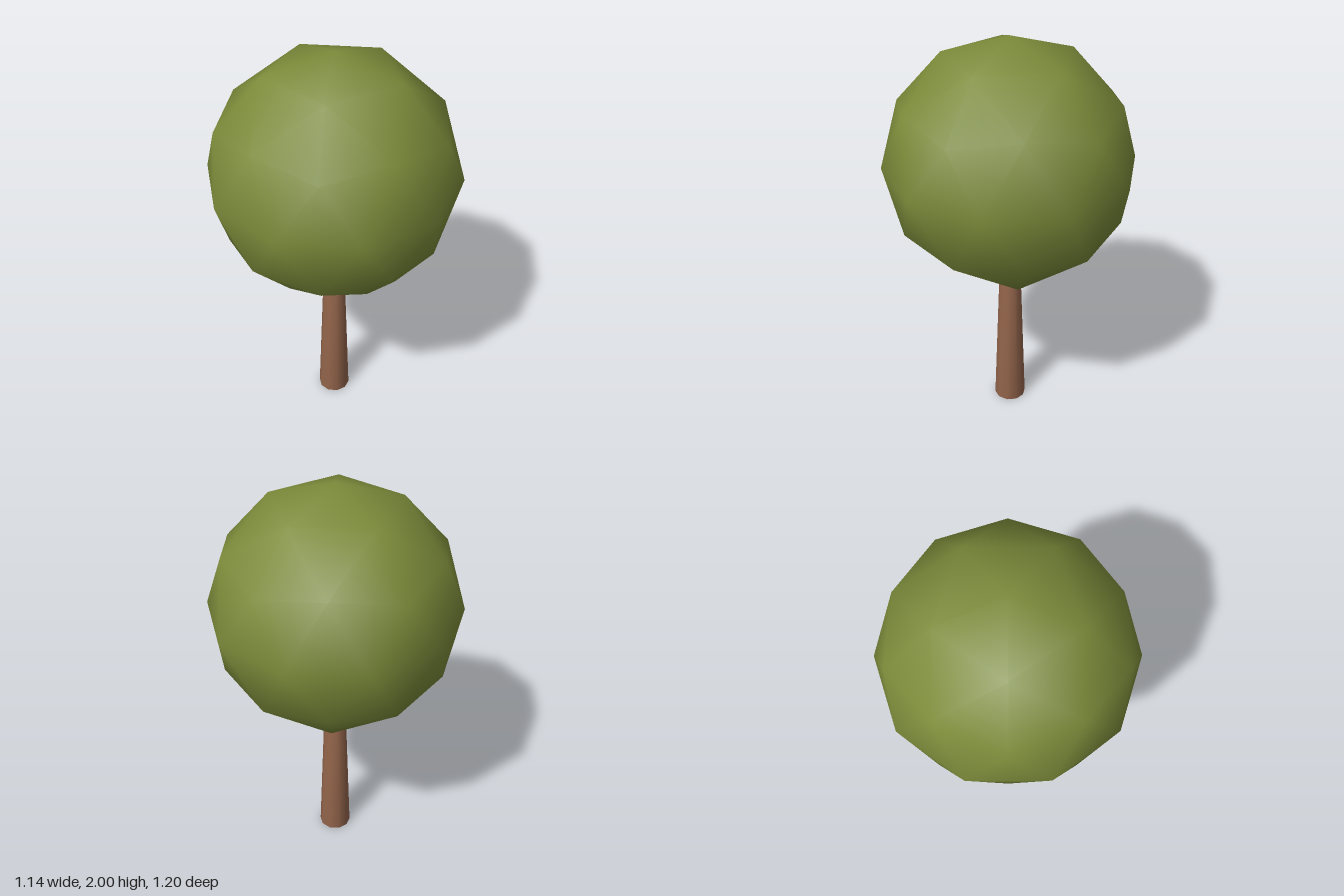
import * as THREE from 'three';
import { mergeVertices } from 'three/addons/utils/BufferGeometryUtils.js';

const leafGreen = new THREE.MeshStandardMaterial({ name: 'leafGreen', color: 0x7c8b3a });
const barkBrown = new THREE.MeshStandardMaterial({ name: 'barkBrown', color: 0x95664c });

// Share vertices across all faces so shading runs smoothly round every edge
function smooth(geometry) {
  geometry.deleteAttribute('normal');
  geometry.deleteAttribute('uv');
  const merged = mergeVertices(geometry, 1e-4);
  merged.computeVertexNormals();
  return merged;
}

function part(name, geometry, material, y) {
  const mesh = new THREE.Mesh(geometry, material);
  mesh.name = name;
  mesh.position.y = y;
  return mesh;
}

export function createModel() {
  const tree = new THREE.Group();
  tree.name = 'tree';

  // Crown: 80-face ball, tilted so that a corner points straight up
  const crown = new THREE.IcosahedronGeometry(0.6, 1);
  crown.rotateZ(-Math.atan(2 / (1 + Math.sqrt(5))));
  tree.add(part('crown', smooth(crown), leafGreen, 1.4));

  // Trunk: ten-sided taper reaching a little way into the crown
  const height = 0.9;
  const trunk = new THREE.CylinderGeometry(0.05, 0.082, height, 10);
  tree.add(part('trunk', smooth(trunk), barkBrown, height / 2));

  return tree;
}
